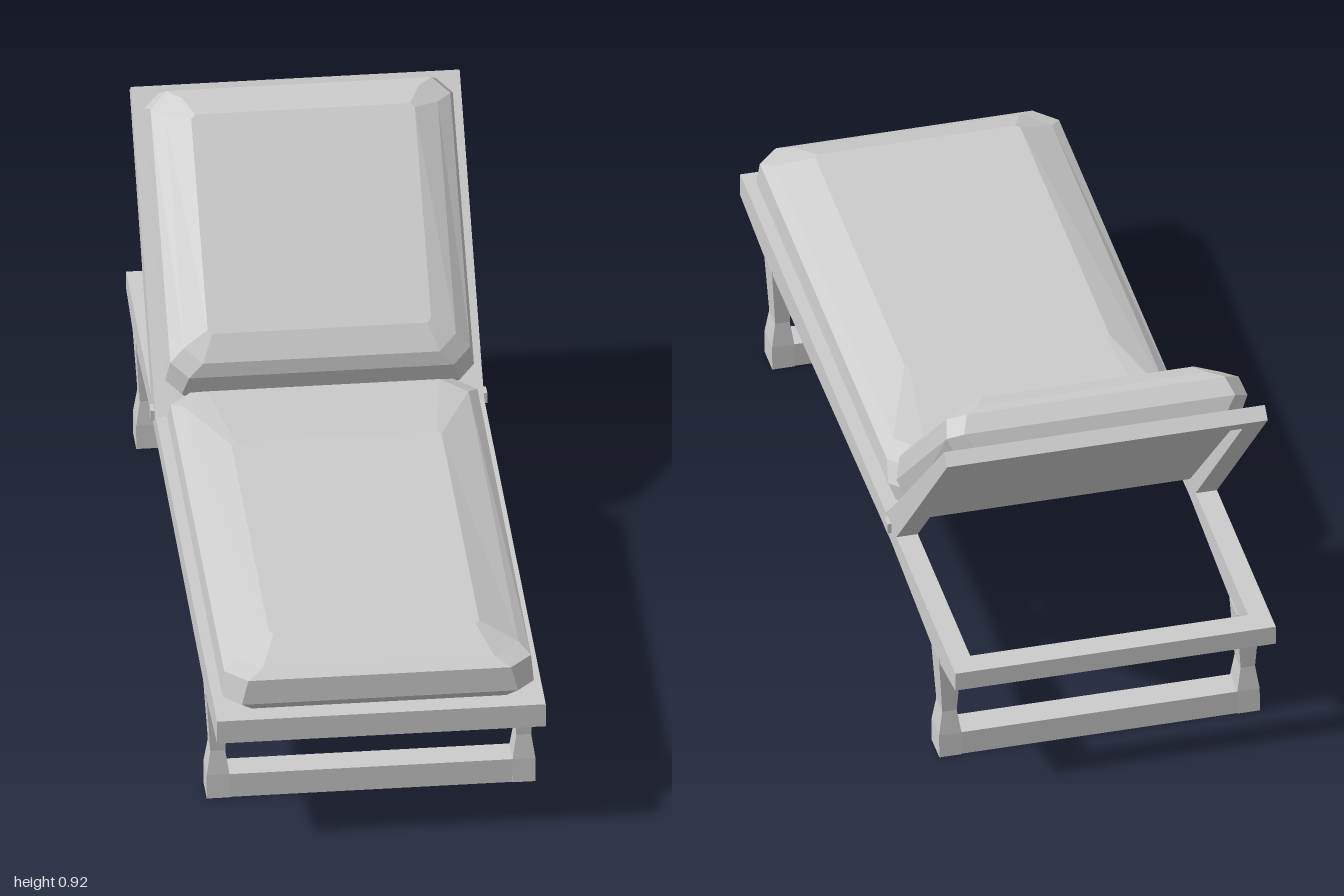
import * as THREE from 'three';

const material = new THREE.MeshStandardMaterial({ color: 0xcccccc, flatShading: true, side: THREE.DoubleSide });

function add(parent, name, geometry) {
  const mesh = new THREE.Mesh(geometry, material);
  mesh.name = name;
  parent.add(mesh);
  return mesh;
}

// Extrudes a side profile of [z, y] points across x, from x0 to x1.
function sideExtrude(profile, x0, x1) {
  const shape = new THREE.Shape(profile.map(([z, y]) => new THREE.Vector2(z, y)));
  const g = new THREE.ExtrudeGeometry(shape, { depth: x1 - x0, bevelEnabled: false });
  return g.rotateY(-Math.PI / 2).translate(x1, 0, 0);
}

// Cushion lofted through corner-cut rectangles. Each ring has a half width hx,
// end points a and b as [z, y], and the corner cut c.
function cushionGeometry(rings) {
  const pos = [], index = [], n = 8;
  const addRing = ({ hx, a, b, c }) => {
    const dz = b[0] - a[0], dy = b[1] - a[1], cut = c / Math.hypot(dz, dy);
    const half = [[hx - c, 1], [hx, 1 - cut], [hx, cut], [hx - c, 0]];
    const ring = [...half, ...half.map(([x, t]) => [-x, t]).reverse()];
    for (const [x, t] of ring) pos.push(x, a[1] + dy * t, a[0] + dz * t);
  };
  rings.forEach(addRing);
  for (let r = 0; r < rings.length - 1; r++) {
    for (let i = 0; i < n; i++) {
      const p = r * n + i, q = r * n + (i + 1) % n;
      index.push(p, q, q + n, p, q + n, p + n);
    }
  }
  const top = (rings.length - 1) * n;
  for (let i = 1; i < n - 1; i++) {
    index.push(0, i + 1, i, top, top + i, top + i + 1);
  }
  const g = new THREE.BufferGeometry();
  g.setAttribute('position', new THREE.Float32BufferAttribute(pos, 3));
  g.setIndex(index);
  const flat = g.toNonIndexed();
  flat.computeVertexNormals();
  return flat;
}

// Leg post: a box narrowed to a waist.
function legGeometry() {
  const levels = [[0, 0.026, 0.037], [0.06, 0.026, 0.035], [0.12, 0.017, 0.028], [0.275, 0.027, 0.037]];
  const g = new THREE.BoxGeometry(2, 3, 2, 1, 3, 1);
  const p = g.attributes.position;
  for (let i = 0; i < p.count; i++) {
    const [y, hx, hz] = levels[Math.round(p.getY(i) + 1.5)];
    p.setXYZ(i, p.getX(i) * hx, y, p.getZ(i) * hz);
  }
  g.computeVertexNormals();
  return g;
}

export function createModel() {
  const model = new THREE.Group();
  model.name = 'sunLounger';
  const W = 0.375, inner = 0.325;

  // Base frame
  const base = new THREE.Group();
  base.name = 'baseFrame';
  model.add(base);
  const railProfile = [[1, 0.337], [1, 0.279], [0.77, 0.263], [0.7, 0.265], [-0.4, 0.291],
    [-0.78, 0.265], [-0.85, 0.265], [-1, 0.29], [-1, 0.337]];
  add(base, 'frontRail', sideExtrude([[1, 0.337], [1, 0.279], [0.945, 0.279], [0.945, 0.337]], -inner, inner));
  add(base, 'backRail', sideExtrude([[-1, 0.337], [-1, 0.29], [-0.94, 0.283], [-0.94, 0.337]], -inner, inner));
  add(base, 'seatPanel', sideExtrude([[0.945, 0.335], [0.945, 0.318], [-0.36, 0.318], [-0.36, 0.335]], -inner, inner));

  // Backrest frame
  const back = new THREE.Group();
  back.name = 'backrest';
  model.add(back);
  const stileProfile = [[-0.35, 0.334], [-0.45, 0.334], [-0.925, 0.862], [-0.898, 0.886], [-0.415, 0.395]];
  add(back, 'backrestTopBar', sideExtrude(
    [[-0.925, 0.862], [-0.898, 0.886], [-0.859, 0.846], [-0.888, 0.821]], -inner, inner));
  add(back, 'backrestPanel', sideExtrude(
    [[-0.865, 0.852], [-0.874, 0.842], [-0.4, 0.34], [-0.375, 0.345]], -inner, inner));

  // Mirrored side parts
  for (const [side, s] of [['left', 1], ['right', -1]]) {
    const lo = s > 0 ? inner : -W, hi = s > 0 ? W : -inner;
    add(base, `${side}SideRail`, sideExtrude(railProfile, lo, hi));
    add(back, `${side}BackrestStile`, sideExtrude(stileProfile, lo, hi));
    add(back, `${side}Pivot`, new THREE.BoxGeometry(0.02, 0.026, 0.03)).position.set(s * 0.374, 0.328, -0.39);
  }

  // Leg frames: two waisted posts joined by a bar at the floor
  for (const [name, z] of [['front', 0.738], ['back', -0.815]]) {
    const legs = new THREE.Group();
    legs.name = `${name}Legs`;
    legs.position.z = z;
    model.add(legs);
    for (const s of [-1, 1]) {
      add(legs, `${name}Leg`, legGeometry()).position.x = s * 0.349;
    }
    add(legs, `${name}FootBar`, new THREE.BoxGeometry(0.65, 0.06, 0.07)).position.y = 0.03;
  }

  // Cushions
  add(model, 'seatCushion', cushionGeometry([
    { hx: 0.34, a: [-0.36, 0.337], b: [0.95, 0.337], c: 0.05 },
    { hx: 0.355, a: [-0.335, 0.375], b: [0.97, 0.36], c: 0.04 },
    { hx: 0.35, a: [-0.315, 0.42], b: [0.967, 0.42], c: 0.05 },
    { hx: 0.325, a: [-0.28, 0.442], b: [0.94, 0.435], c: 0.06 },
    { hx: 0.24, a: [0, 0.472], b: [0.85, 0.472], c: 0.01 },
  ]));
  add(model, 'backCushion', cushionGeometry([
    { hx: 0.335, a: [-0.868, 0.862], b: [-0.385, 0.365], c: 0.04 },
    { hx: 0.352, a: [-0.853, 0.893], b: [-0.335, 0.405], c: 0.035 },
    { hx: 0.342, a: [-0.815, 0.92], b: [-0.319, 0.455], c: 0.04 },
    { hx: 0.31, a: [-0.785, 0.917], b: [-0.322, 0.49], c: 0.04 },
    { hx: 0.255, a: [-0.735, 0.902], b: [-0.358, 0.546], c: 0.01 },
  ]));

  return model;
}
